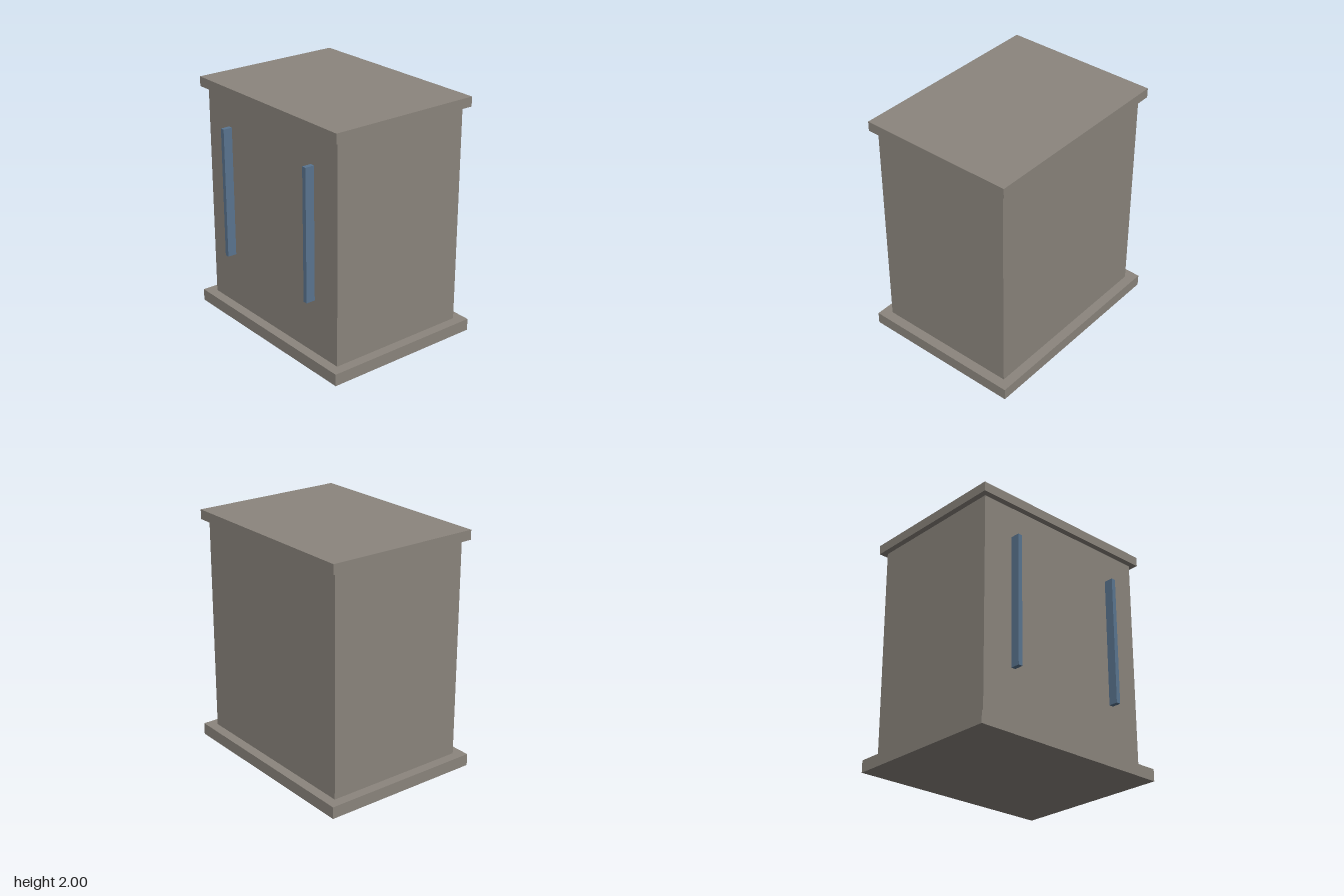
import * as THREE from 'three';

export function createModel() {
  const model = new THREE.Group();
  model.name = 'cabinet';

  const stone = new THREE.MeshStandardMaterial({ color: 0x8b857d });
  stone.name = 'warm grey';
  const blue = new THREE.MeshStandardMaterial({ color: 0x5a7590 });
  blue.name = 'steel blue';

  // Box standing on height y0 and reaching y1
  function slab(name, material, width, depth, y0, y1, x = 0, z = 0) {
    const mesh = new THREE.Mesh(new THREE.BoxGeometry(width, y1 - y0, depth), material);
    mesh.name = name;
    mesh.position.set(x, (y0 + y1) / 2, z);
    model.add(mesh);
  }

  // Carcass: plinth, body and overhanging lid
  slab('plinth', stone, 1.794, 1.384, 0, 0.1);
  slab('body', stone, 1.626, 1.22, 0.1, 1.92);
  slab('lid', stone, 1.72, 1.317, 1.92, 2);

  // Two upright bar handles on the front face
  for (const [name, side] of [['leftHandle', 1], ['rightHandle', -1]]) {
    slab(name, blue, 0.038, 0.078, 0.555, 1.656, side * 0.523, 0.649);
  }

  return model;
}
